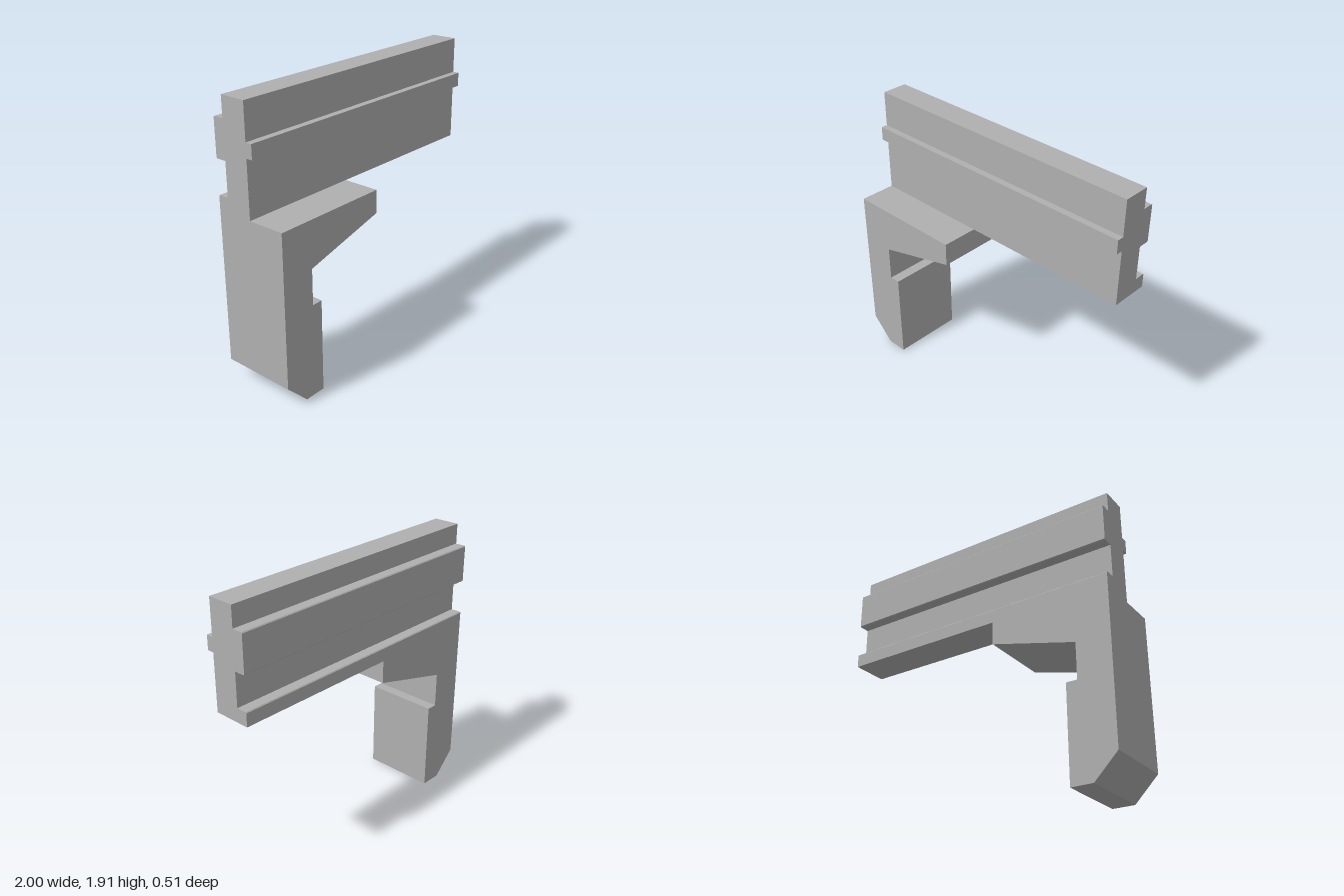
import * as THREE from 'three';

// Solid prism from a closed outline
function prism(name, points, depth, material) {
  const shape = new THREE.Shape(points.map(([x, y]) => new THREE.Vector2(x, y)));
  const geometry = new THREE.ExtrudeGeometry(shape, { depth, bevelEnabled: false });
  geometry.translate(0, 0, -depth / 2);
  const mesh = new THREE.Mesh(geometry, material);
  mesh.name = name;
  return mesh;
}

export function createModel() {
  const group = new THREE.Group();
  group.name = 'railBracket';
  const grey = new THREE.MeshStandardMaterial({ color: 0xb0b0b0 });
  grey.name = 'plain grey';

  // Ribbed rail: cross-section as [distance towards the back, height]
  const c = 0.006; // tiny chamfer on the rib edges
  const back = 0.255, web = 0.18, lip = -0.045;
  const rail = prism('rail', [
    [0, 1.2], [back, 1.2],
    [back, 1.295 - c], [back - c, 1.295], [web, 1.295],
    [web, 1.523], [back - c, 1.523], [back, 1.523 + c],
    [back, 1.777 - c], [back - c, 1.777], [web, 1.777],
    [web, 1.915], [0, 1.915],
    [0, 1.675], [lip, 1.675], [lip, 1.58], [0, 1.58],
  ], 2, grey);
  rail.rotation.y = Math.PI / 2;
  group.add(rail);

  // Leg with notched inner side, sloping brace and cut foot
  group.add(prism('supportLeg', [
    [-0.84, 0], [-0.69, 0], [-0.69, 0.64], [-0.765, 0.64],
    [-0.765, 0.885], [-0.17, 1.042], [-0.17, 1.2],
    [-1, 1.2], [-1, 0.16],
  ], 0.51, grey));

  return group;
}
